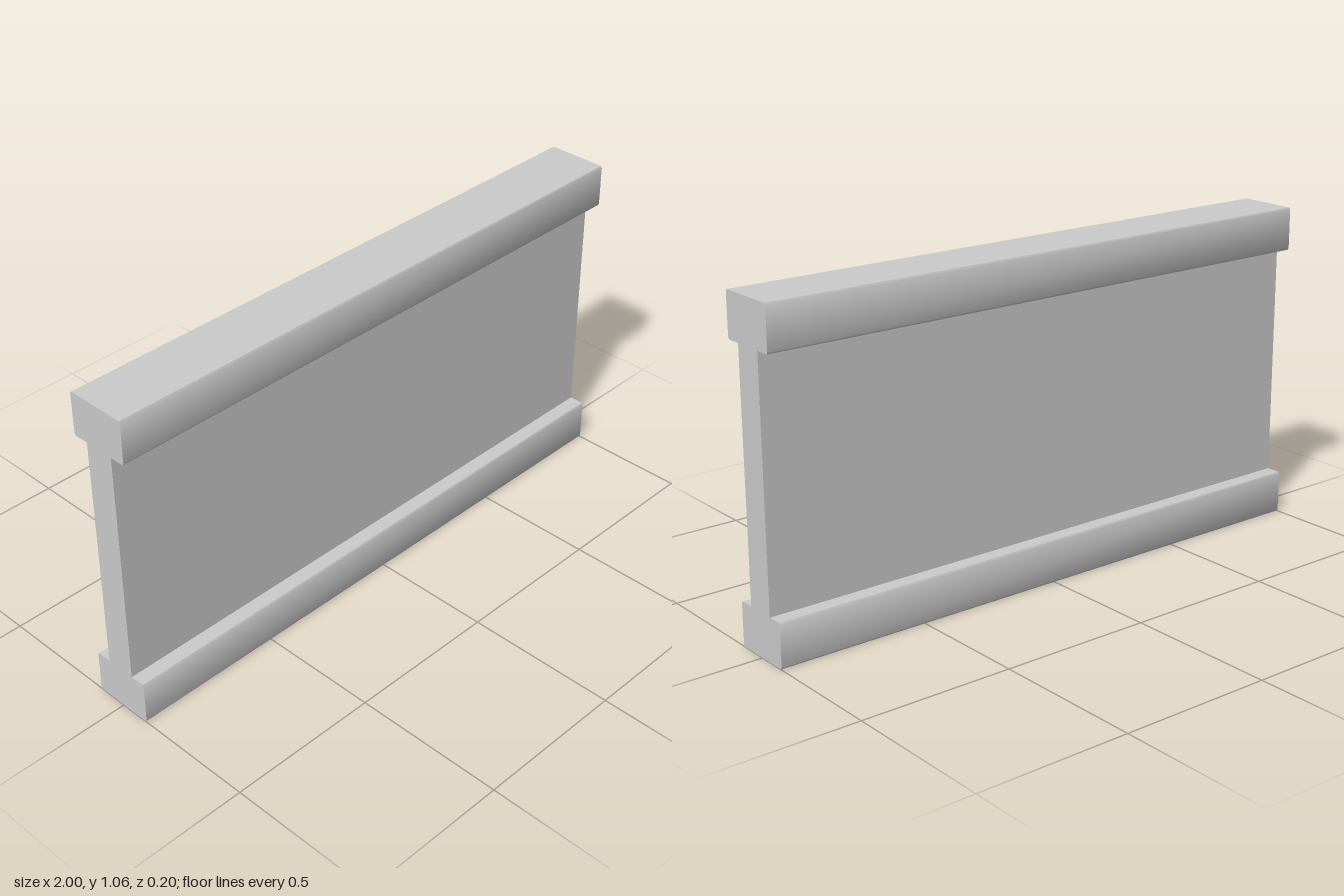
import * as THREE from 'three';
import { toCreasedNormals } from 'three/addons/utils/BufferGeometryUtils.js';

const LENGTH = 2;
const HEIGHT = 1.063;
const FLANGE_HEIGHT = 0.142;
const FLANGE_HALF = 0.102; // half depth of the flanges
const WEB_HALF = 0.05; // half depth of the web
const EDGE_Z = 0.004; // small softened flange edges
const EDGE_Y = 0.007;

export function createModel() {
  // One quarter of the I-shaped section, from the base up to the web
  const quarter = [
    [FLANGE_HALF - EDGE_Z, 0],
    [FLANGE_HALF, EDGE_Y],
    [FLANGE_HALF, FLANGE_HEIGHT - EDGE_Y],
    [FLANGE_HALF - EDGE_Z, FLANGE_HEIGHT],
    [WEB_HALF, FLANGE_HEIGHT],
  ];

  // Mirror it upward, then across, to close the outline
  const side = [...quarter, ...quarter.map(([z, y]) => [z, HEIGHT - y]).reverse()];
  const outline = [...side, ...side.map(([z, y]) => [-z, y]).reverse()];
  const section = new THREE.Shape(outline.map(([z, y]) => new THREE.Vector2(z, y)));

  // Run the section along x
  const extruded = new THREE.ExtrudeGeometry(section, { depth: LENGTH, bevelEnabled: false });
  extruded.translate(0, 0, -LENGTH / 2).rotateY(Math.PI / 2);

  // The softened edges blend into the flange sides; all other edges stay sharp
  const geometry = toCreasedNormals(extruded, THREE.MathUtils.degToRad(40));

  const beam = new THREE.Mesh(geometry, new THREE.MeshStandardMaterial({ color: 0xcccccc }));
  beam.name = 'beam';

  const group = new THREE.Group();
  group.name = 'flangedBeam';
  group.add(beam);
  return group;
}
